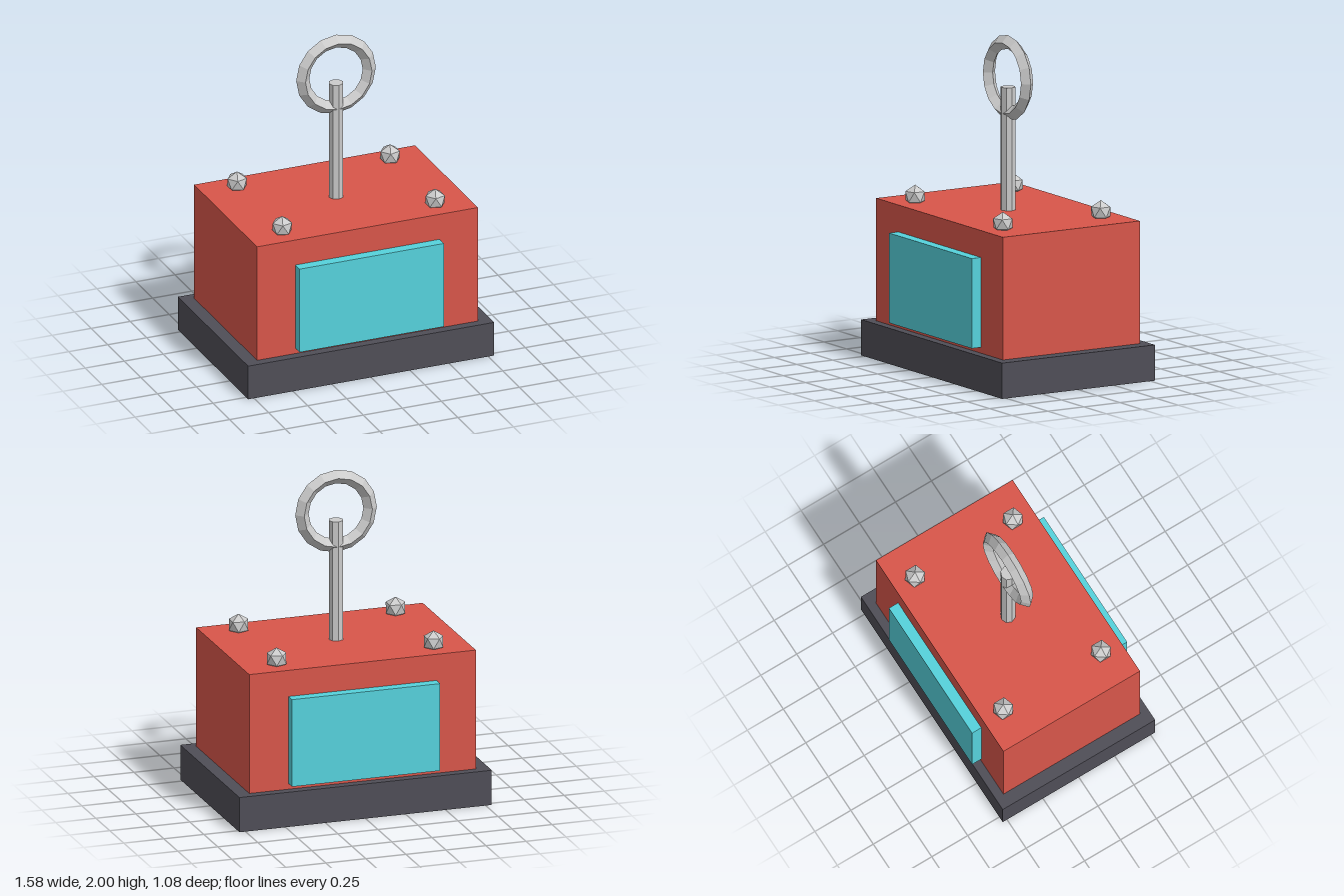
import * as THREE from 'three';

export function createModel() {
  const root = new THREE.Group();
  const mat = (color) => new THREE.MeshStandardMaterial({ color, flatShading: true });
  const red = mat(0xd8564a), dark = mat(0x4f4e57), cyan = mat(0x56d2dc), metal = mat(0xcccccc);

  const add = (name, geometry, material, x, y, z) => {
    const mesh = new THREE.Mesh(geometry, material);
    mesh.name = name;
    mesh.position.set(x, y, z);
    root.add(mesh);
    return mesh;
  };

  // Plinth and the main block standing in it
  add('base', new THREE.BoxGeometry(1.575, 0.215, 1.06), dark, 0, 0.1075, 0);
  add('body', new THREE.BoxGeometry(1.415, 0.949, 0.95), red, 0, 0.4775, 0);

  // Front and back panels
  for (const s of [1, -1]) {
    add(s > 0 ? 'frontPanel' : 'backPanel',
      new THREE.BoxGeometry(0.925, 0.54, 0.12), cyan, 0, 0.52, s * 0.479);
  }

  // Corner studs: icosahedra turned to stand on a vertex
  const stud = new THREE.IcosahedronGeometry(0.067, 0);
  stud.rotateZ(Math.atan(2 / (1 + Math.sqrt(5))));
  for (const x of [-0.49, 0.49]) {
    for (const z of [-0.34, 0.34]) add('stud', stud, metal, x, 0.988, z);
  }

  // Post and the ring hung on it
  add('post', new THREE.CylinderGeometry(0.045, 0.045, 0.79, 8), metal, 0, 1.295, 0);
  add('ring', new THREE.TorusGeometry(0.213, 0.042, 4, 16), metal, 0, 1.745, 0);

  return root;
}
